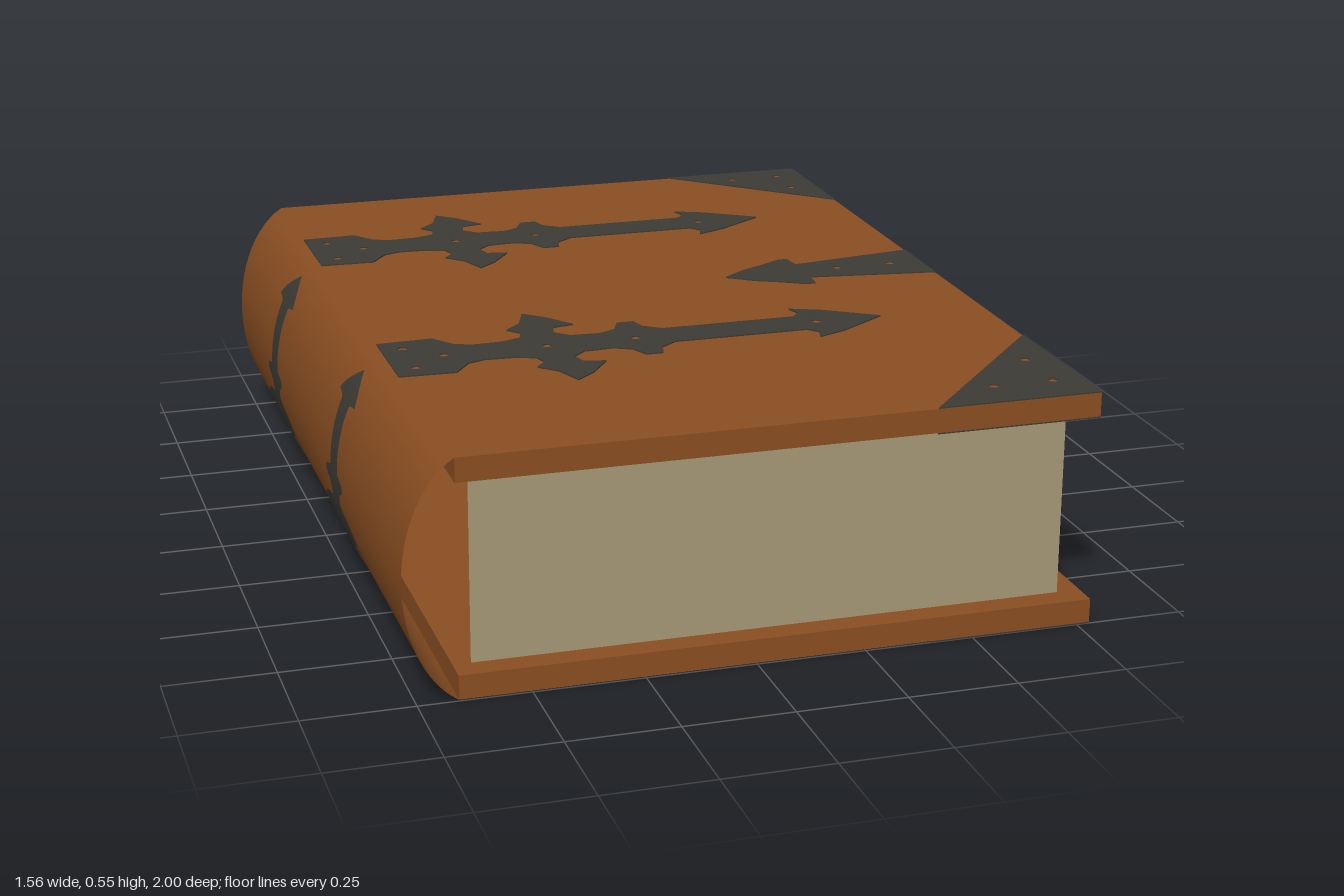
import * as THREE from 'three';

const leather = new THREE.MeshStandardMaterial({ color: 0x8b4f22, side: THREE.DoubleSide });
leather.name = 'leather brown';
const paper = new THREE.MeshStandardMaterial({ color: 0xa89a78 });
paper.name = 'aged paper';
const iron = new THREE.MeshStandardMaterial({ color: 0x3c3b35, side: THREE.DoubleSide });
iron.name = 'dark iron';

const H = 0.54, BOARD = 0.055, X0 = -0.66, X1 = 0.78, PLATE = 0.003;

// Half outlines [along, half width], mirrored across the long axis
const STRAP = [[-0.66, 0.12], [-0.53, 0.125], [-0.49, 0.07], [-0.45, 0.055], [-0.38, 0.058], [-0.335, 0.075],
  [-0.325, 0.11], [-0.35, 0.14], [-0.31, 0.18], [-0.285, 0.25], [-0.24, 0.21], [-0.19, 0.14], [-0.24, 0.13],
  [-0.25, 0.09], [-0.22, 0.06], [-0.15, 0.055], [-0.11, 0.075], [-0.09, 0.12], [-0.05, 0.12], [-0.04, 0.08],
  [0, 0.05], [0.32, 0.05], [0.34, 0.075], [0.33, 0.11], [0.4, 0.08], [0.52, 0]];
const CLASP = [[0.78, 0.1], [0.47, 0.055], [0.465, 0.105], [0.44, 0.105], [0.39, 0.075], [0.33, 0.045], [0.27, 0]];
// Single-valued strap outline for the curved spine
const SPINE_STRAP = [[-0.66, 0.12], [-0.53, 0.125], [-0.49, 0.07], [-0.45, 0.055], [-0.38, 0.06], [-0.35, 0.14],
  [-0.31, 0.18], [-0.285, 0.25], [-0.24, 0.2], [-0.2, 0.13], [-0.19, 0.06], [-0.15, 0.055], [-0.11, 0.08],
  [-0.09, 0.12], [-0.05, 0.12], [-0.03, 0.05], [0.32, 0.05], [0.335, 0.11], [0.4, 0.08], [0.52, 0]];

function add(parent, name, geometry, material) {
  const mesh = new THREE.Mesh(geometry, material);
  mesh.name = name;
  parent.add(mesh);
  return mesh;
}

// Thin plate lying on y = 0, drawn in x/z, with small rivet holes
function plate(parent, name, points, rivets) {
  const shape = new THREE.Shape(points.map(([x, z]) => new THREE.Vector2(x, z)));
  for (const [x, z] of rivets) {
    shape.holes.push(new THREE.Path().absarc(x, z, 0.012, 0, Math.PI * 2, true));
  }
  const geo = new THREE.ExtrudeGeometry(shape, { depth: PLATE, bevelEnabled: false, curveSegments: 4 });
  geo.rotateX(Math.PI / 2).translate(0, PLATE, 0);
  return add(parent, name, geo, iron);
}

const mirrored = (half, z) => [
  ...half.map(([x, w]) => [x, z - w]),
  ...half.slice().reverse().filter(([, w]) => w > 0).map(([x, w]) => [x, z + w]),
];

// Corner pieces and edge clasp
function edgeFittings(g) {
  plate(g, 'backCorner', [[0.42, -1], [X1, -1], [X1, -0.66]], [[0.58, -0.93], [0.71, -0.93], [0.71, -0.81]]);
  plate(g, 'frontCorner', [[0.4, 1], [X1, 0.58], [X1, 1]], [[0.57, 0.9], [0.71, 0.9], [0.71, 0.75]]);
  plate(g, 'clasp', mirrored(CLASP, -0.05), [[0.56, -0.05], [0.7, -0.05]]);
}

// All iron fittings on the outside of a board
function outerFittings(name) {
  const g = new THREE.Group();
  g.name = name;
  edgeFittings(g);
  for (const z of [-0.55, 0.35]) {
    const rivets = [[-0.61, z - 0.07], [-0.61, z + 0.07], ...[-0.53, -0.29, -0.08, 0.36].map((x) => [x, z])];
    plate(g, 'strap', mirrored(STRAP, z), rivets);
  }
  return g;
}

// Point on the spine curve: t = -1 at the bottom edge, 1 at the top edge
const A = 1.22;
function spinePoint(t, lift) {
  const c = (Math.cos(t * A) - Math.cos(A)) / (1 - Math.cos(A));
  return [X0 - 0.117 * c - lift, H / 2 + (H / 2) * Math.sin(t * A) / Math.sin(A)];
}

// Band following the spine, with half width given along t
function spineBand(t0, t1, n, halfWidth, z, lift) {
  const pos = [], idx = [];
  for (let i = 0; i <= n; i++) {
    const t = t0 + (t1 - t0) * i / n;
    const [x, y] = spinePoint(t, lift);
    const w = halfWidth(i / n);
    pos.push(x, y, z - w, x, y, z + w);
    if (i < n) {
      const a = i * 2;
      idx.push(a, a + 1, a + 2, a + 1, a + 3, a + 2);
    }
  }
  const geo = new THREE.BufferGeometry();
  geo.setAttribute('position', new THREE.Float32BufferAttribute(pos, 3));
  geo.setIndex(idx);
  geo.computeVertexNormals();
  return geo;
}

function strapWidth(f) {
  const x = -0.66 + 1.18 * f;
  for (let i = 1; i < SPINE_STRAP.length; i++) {
    const [xa, wa] = SPINE_STRAP[i - 1], [xb, wb] = SPINE_STRAP[i];
    if (x <= xb) return 0.75 * (wa + (wb - wa) * (x - xa) / (xb - xa));
  }
  return 0;
}

export function createModel() {
  const book = new THREE.Group();
  book.name = 'book';

  // Boards
  for (const [name, y] of [['bottomBoard', BOARD / 2], ['topBoard', H - BOARD / 2]]) {
    add(book, name, new THREE.BoxGeometry(X1 - X0, BOARD, 2), leather).position.set((X0 + X1) / 2, y, 0);
  }

  // Rounded spine sheet and its straps
  add(book, 'spine', spineBand(-1, 1, 24, () => 1, 0, 0), leather);
  for (const z of [-0.47, 0.3]) {
    add(book, 'spineStrap', spineBand(-0.88, 0.8, 96, strapWidth, z, 0.004), iron);
  }

  // Page block, open towards the spine
  const px0 = -0.62, px1 = 0.725, pz = 0.943, ph = H - 2 * BOARD;
  const side = (name, width, x, z, turn) => {
    const m = add(book, name, new THREE.PlaneGeometry(width, ph), paper);
    m.position.set(x, H / 2, z);
    m.rotation.y = turn;
  };
  side('pagesFront', px1 - px0, (px0 + px1) / 2, pz, 0);
  side('pagesBack', px1 - px0, (px0 + px1) / 2, -pz, Math.PI);
  side('pagesForeEdge', pz * 2, px1, 0, Math.PI / 2);

  // Iron fittings on both outer faces
  const top = outerFittings('topFittings');
  top.position.y = H;
  const bottom = outerFittings('bottomFittings');
  bottom.scale.y = -1;
  book.add(top, bottom);

  // Fittings wrapping to the inner faces
  const inner = new THREE.Group();
  inner.name = 'topInnerFittings';
  edgeFittings(inner);
  inner.scale.y = -1;
  inner.position.y = H - BOARD;
  const lining = new THREE.Group();
  lining.name = 'bottomInnerFittings';
  plate(lining, 'backLining', [[X0, -1], [X1, -1], [X1, -0.9], [X0, -0.9]], []);
  plate(lining, 'edgeLining', [[0.7, -0.9], [X1, -0.9], [X1, 0.7], [0.7, 0.7]], []);
  lining.position.y = BOARD;
  book.add(inner, lining);

  book.position.y = PLATE;
  const model = new THREE.Group();
  model.name = 'model';
  model.add(book);
  return model;
}
